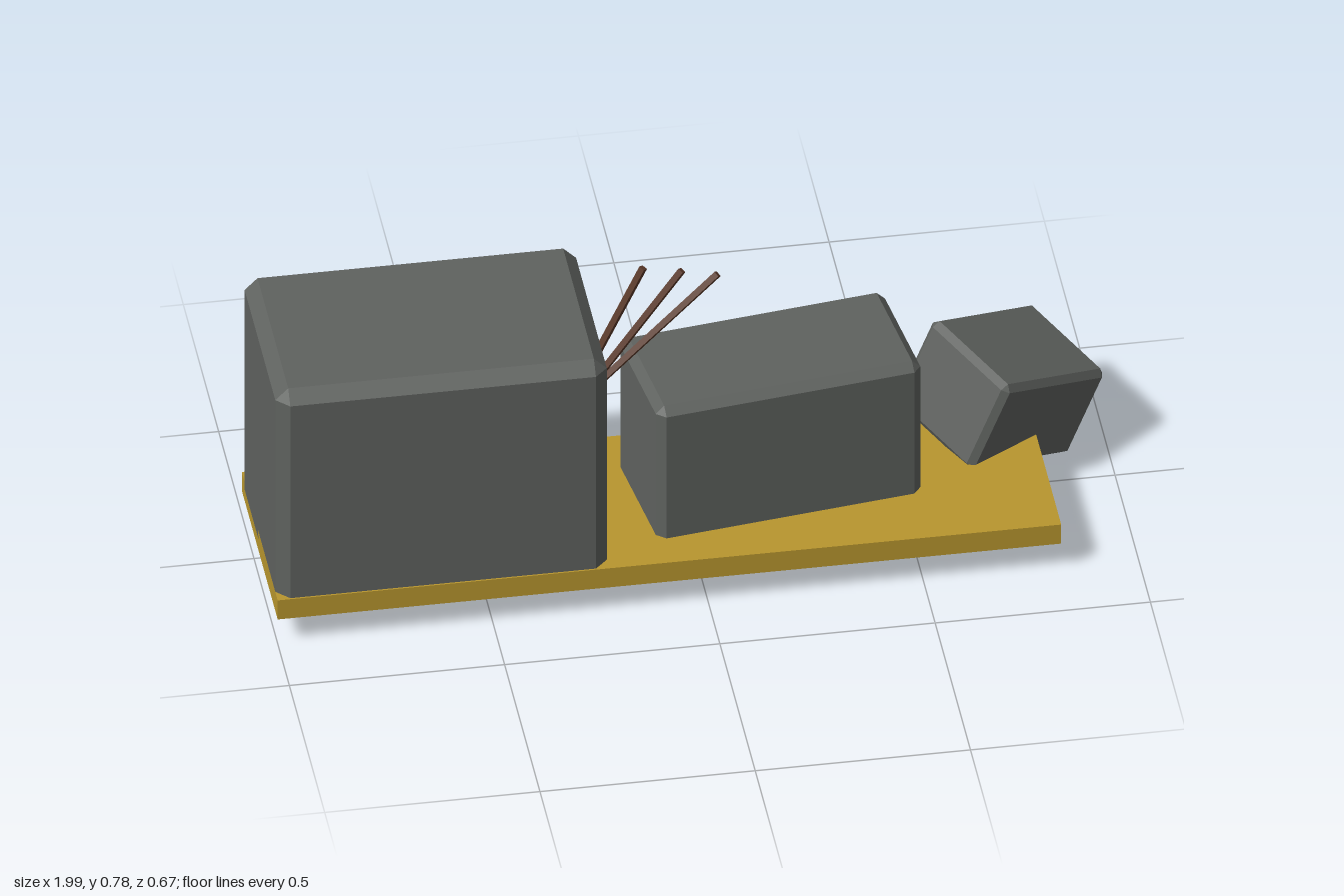
import * as THREE from 'three';
import { ConvexGeometry } from 'three/addons/geometries/ConvexGeometry.js';

const stone = new THREE.MeshStandardMaterial({ color: 0x5f625f });
stone.name = 'grey stone';
const ochre = new THREE.MeshStandardMaterial({ color: 0xb8962e });
ochre.name = 'ochre';
const wood = new THREE.MeshStandardMaterial({ color: 0x5c3a2a, flatShading: true });
wood.name = 'brown twig';

// Box with every edge cut by a flat chamfer c
function chamferBox(w, h, d, c) {
  const points = [];
  for (const sx of [-1, 1]) for (const sy of [-1, 1]) for (const sz of [-1, 1]) {
    const x = w / 2, y = h / 2, z = d / 2;
    points.push(
      new THREE.Vector3(sx * x, sy * (y - c), sz * (z - c)),
      new THREE.Vector3(sx * (x - c), sy * y, sz * (z - c)),
      new THREE.Vector3(sx * (x - c), sy * (y - c), sz * z),
    );
  }
  return new ConvexGeometry(points);
}

export function createModel() {
  const model = new THREE.Group();
  const add = (name, geometry, material, x, y, z) => {
    const mesh = new THREE.Mesh(geometry, material);
    mesh.name = name;
    mesh.position.set(x, y, z);
    model.add(mesh);
    return mesh;
  };

  // Ground slab
  add('baseSlab', new THREE.BoxGeometry(1.82, 0.054, 0.506), ochre, -0.09, 0.105, 0.082);

  // Upright blocks, sunk into the slab
  add('largeBlock', chamferBox(0.77, 0.626, 0.494, 0.03), stone, -0.615, 0.393, 0.084);
  const middle = add('middleBlock', chamferBox(0.634, 0.415, 0.316, 0.02), stone, 0.192, 0.2875, 0.045);
  middle.rotation.y = 0.135;

  // Fallen block, tipped over the end of the slab
  const fallen = add('fallenBlock', chamferBox(0.345, 0.24, 0.275, 0.015), stone, 0.7545, 0.1965, -0.1295);
  const along = new THREE.Vector3(0.258, -0.114, -0.182).normalize();
  const up = new THREE.Vector3(0.13, -0.047, 0.23).cross(along).normalize();
  const across = along.clone().cross(up);
  fallen.quaternion.setFromRotationMatrix(new THREE.Matrix4().makeBasis(along, up, across));

  // Bent rods fanning out of the large block
  const rods = [[-0.11, 0.79, 65], [-0.02, 0.772, 55], [0.063, 0.752, 45]];
  rods.forEach(([tipX, tipY, degrees], i) => {
    const angle = THREE.MathUtils.degToRad(degrees);
    const length = (tipX + 0.245) / Math.cos(angle);
    const rod = add(`rod${i + 1}`, new THREE.CylinderGeometry(0.01, 0.01, length, 4), wood,
      tipX - Math.cos(angle) * length / 2, tipY - Math.sin(angle) * length / 2, 0.084);
    rod.rotation.z = angle - Math.PI / 2;
  });

  return model;
}
